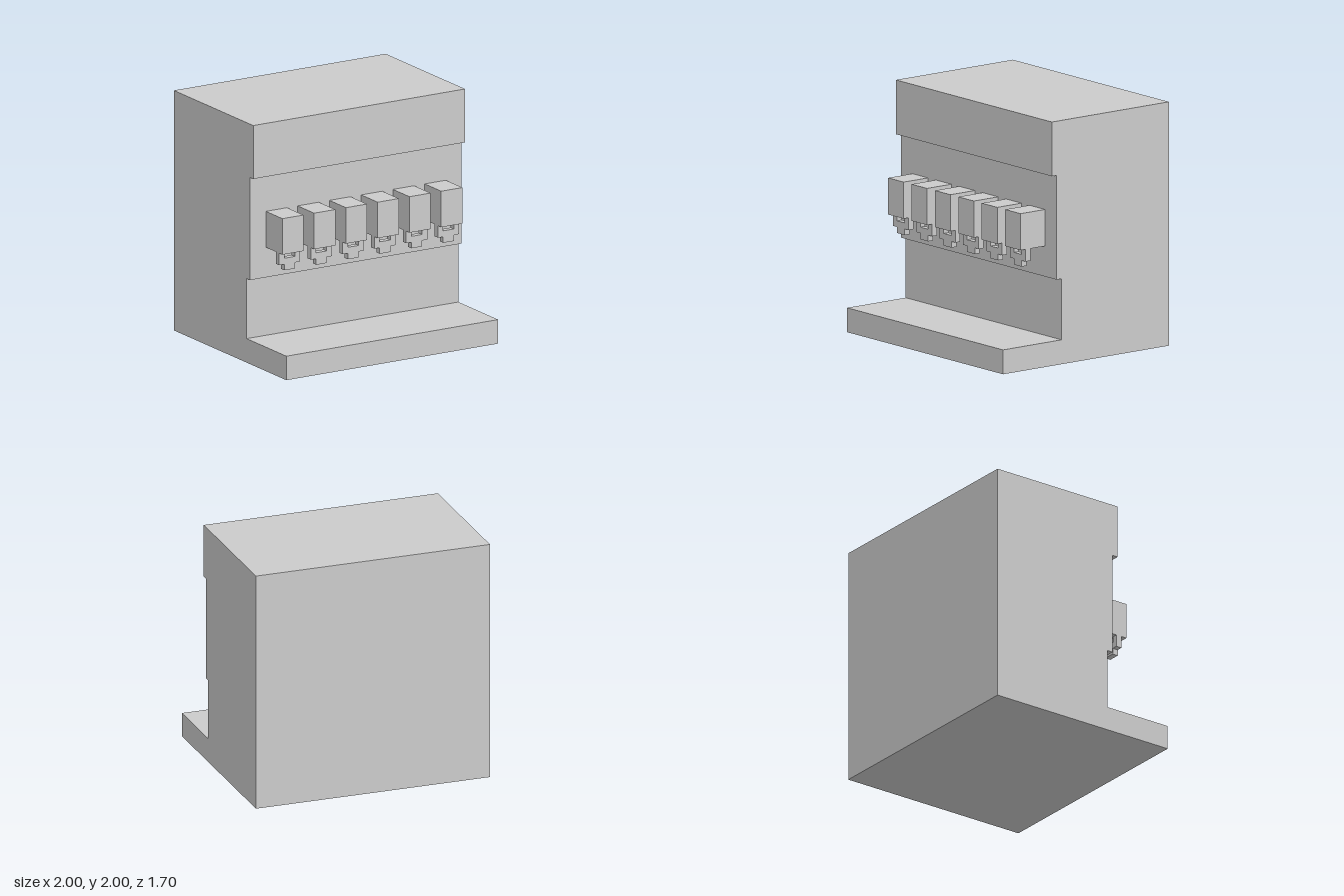
import * as THREE from 'three';

const material = new THREE.MeshStandardMaterial({ color: 0xcccccc, flatShading: true });

// Extrude a closed outline of [x, y] points along +z
function extrude(points, depth) {
  const shape = new THREE.Shape(points.map(([x, y]) => new THREE.Vector2(x, y)));
  return new THREE.ExtrudeGeometry(shape, { depth, bevelEnabled: false });
}

function part(name, geometry) {
  const mesh = new THREE.Mesh(geometry, material);
  mesh.name = name;
  return mesh;
}

export function createModel() {
  const model = new THREE.Group();
  model.name = 'dispenser';

  // Cabinet: stepped side profile as [z, y], swept across the width
  const profile = [
    [-0.85, 0], [0.85, 0], [0.85, 0.2], [0.25, 0.2], [0.25, 0.7],
    [0.3, 0.7], [0.3, 1.555], [0.35, 1.555], [0.35, 2], [-0.85, 2],
  ];
  const cabinet = extrude(profile, 2);
  cabinet.rotateY(-Math.PI / 2).translate(1, 0, 0);
  model.add(part('cabinet', cabinet));

  // Lever plate: notched at the top, stepped narrower at the bottom
  const leverOutline = [
    [-0.05, 0.8], [0.05, 0.8], [0.05, 0.85], [0.1, 0.85], [0.1, 0.95], [0.05, 0.95],
    [0.05, 0.9], [-0.05, 0.9], [-0.05, 0.95], [-0.1, 0.95], [-0.1, 0.85], [-0.05, 0.85],
  ];
  const lever = extrude(leverOutline, 0.05).translate(0, 0, 0.45);
  const head = new THREE.BoxGeometry(0.2, 0.3, 0.25).translate(0, 1.1, 0.425);

  // Row of six dispensing heads
  for (let i = 0; i < 6; i++) {
    const tap = new THREE.Group();
    tap.name = `tap${i + 1}`;
    tap.add(part('head', head), part('lever', lever));
    tap.position.x = -0.75 + i * 0.3;
    model.add(tap);
  }
  return model;
}
